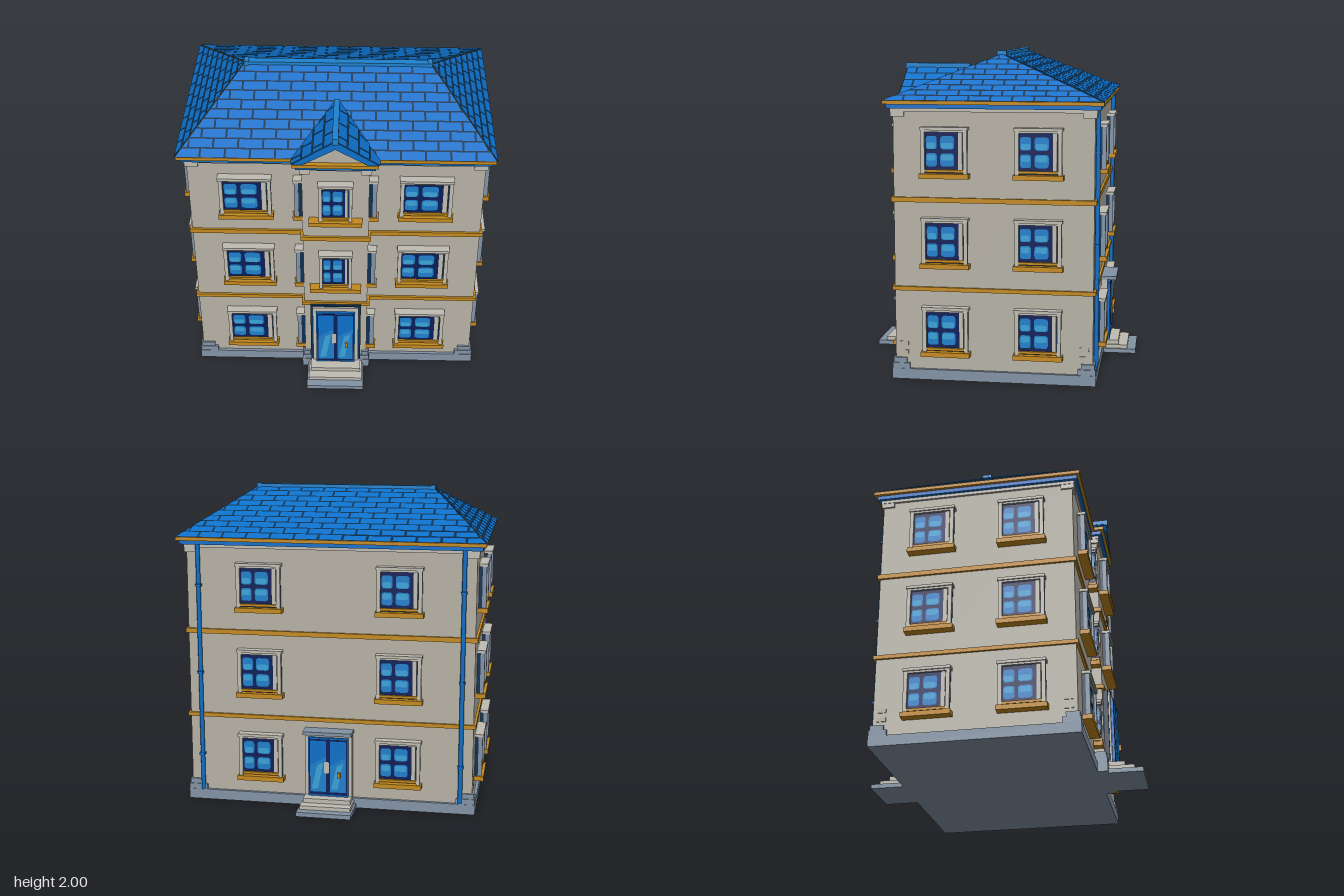
import * as THREE from 'three';

const mat = (name, color) => Object.assign(new THREE.MeshStandardMaterial({ color }), { name });
const M = {
  wall: mat('warm grey wall', 0xb6b2a6),
  trim: mat('pale trim', 0xc0bdb3),
  stone: mat('blue grey stone', 0x8393a6),
  gold: mat('ochre', 0xc48a1f),
  roof: mat('roof blue', 0x0c6fc9),
  ridge: mat('ridge blue', 0x1f83cf),
  joint: mat('dark joint', 0x0d3050),
  navy: mat('navy', 0x0b1e58),
  glass: mat('glass blue', 0x1f80cc),
  glint: mat('glint blue', 0x3ba3d8),
};

function add(parent, name, geo, material) {
  const m = new THREE.Mesh(geo, material);
  m.name = name;
  parent.add(m);
  return m;
}
// Box given by its limits
function box(parent, name, material, x0, x1, y0, y1, z0, z1) {
  const m = add(parent, name, new THREE.BoxGeometry(x1 - x0, y1 - y0, z1 - z0), material);
  m.position.set((x0 + x1) / 2, (y0 + y1) / 2, (z0 + z1) / 2);
  return m;
}
// Flat polygon facing +z
function plate(parent, name, material, pts, z) {
  const s = new THREE.Shape(pts.map(p => new THREE.Vector2(...p)));
  add(parent, name, new THREE.ShapeGeometry(s), material).position.z = z;
}
// Rounded pane of glass
function pane(parent, name, material, x0, x1, y0, y1, z) {
  const rx = (x1 - x0) * 0.25, ry = (y1 - y0) * 0.25, s = new THREE.Shape();
  s.moveTo(x0 + rx, y0);
  s.lineTo(x1 - rx, y0); s.quadraticCurveTo(x1, y0, x1, y0 + ry);
  s.lineTo(x1, y1 - ry); s.quadraticCurveTo(x1, y1, x1 - rx, y1);
  s.lineTo(x0 + rx, y1); s.quadraticCurveTo(x0, y1, x0, y1 - ry);
  s.lineTo(x0, y0 + ry); s.quadraticCurveTo(x0, y0, x0 + rx, y0);
  add(parent, name, new THREE.ShapeGeometry(s, 4), material).position.z = z;
}
function quads(list) {
  const pos = [];
  for (const [a, b, c, d] of list) for (const p of [a, b, c, a, c, d]) pos.push(p.x, p.y, p.z);
  const g = new THREE.BufferGeometry();
  g.setAttribute('position', new THREE.Float32BufferAttribute(pos, 3));
  g.computeVertexNormals();
  return g;
}

// Sloping roof face: a, b along the eave, c, d along the ridge, covered in staggered tiles
function tiledFace(parent, name, pts, rows, tile) {
  const [a, b, c, d] = pts.map(p => new THREE.Vector3(...p));
  const e = b.clone().sub(a).normalize();
  const uD = d.clone().sub(a).dot(e), uC = c.clone().sub(a).dot(e), uB = b.clone().sub(a).dot(e);
  const up = d.clone().sub(a).addScaledVector(e, -uD);
  const n = e.clone().cross(up).normalize();
  const at = (u, v, h) => {
    const l = uD * v + 0.006, r = uB + (uC - uB) * v - 0.006;
    return a.clone().addScaledVector(e, l > r ? (l + r) / 2 : Math.min(r, Math.max(l, u)))
      .addScaledVector(up, v).addScaledVector(n, h);
  };
  add(parent, name + 'Joints', quads([[a, b, c, d].map(p => p.clone().addScaledVector(n, 0.002))]), M.joint);
  const list = [], gapV = 0.011 / up.length(), gapU = 0.006;
  const min = Math.min(0, uD), max = Math.max(uB, uC);
  for (let i = 0; i < rows; i++) {
    const v0 = i / rows, v1 = (i + 1) / rows - gapV;
    for (let u = min - (i % 2) * tile / 2; u < max; u += tile) {
      const q = [at(u + gapU, v0, 0.006), at(u + tile - gapU, v0, 0.006), at(u + tile - gapU, v1, 0.006), at(u + gapU, v1, 0.006)];
      if (q[0].distanceTo(q[1]) > 1e-4 || q[2].distanceTo(q[3]) > 1e-4) list.push(q);
    }
  }
  add(parent, name + 'Tiles', quads(list), M.roof);
}

// Window with sill, framed glass and lintel; local z points out of the wall
function makeWindow(parent, x, y, z, turn, w, sillW = w + 0.02) {
  const g = new THREE.Group(), h = w / 2, t = Math.min(0.024, w * 0.1);
  g.name = 'window';
  g.position.set(x, y, z);
  g.rotation.y = turn;
  const frame = [M.stone, M.stone, M.stone, M.stone, M.trim, M.trim];
  box(g, 'windowBox', M.joint, -h + 0.005, h - 0.005, 0.03, 0.29, 0, 0.022);
  box(g, 'sill', M.gold, -sillW / 2, sillW / 2, 0, 0.03, -0.01, 0.06);
  box(g, 'lintel', M.trim, -h - 0.005, h + 0.005, 0.29, 0.308, 0, 0.055);
  for (const s of [-1, 1])
    box(g, 'jamb', frame, s < 0 ? -h : h - t, s < 0 ? -h + t : h, 0.03, 0.29, 0.022, 0.048);
  box(g, 'frameTop', frame, -h + t, h - t, 0.278, 0.29, 0.022, 0.046);
  box(g, 'lowerRail', M.gold, -h + t, h - t, 0.038, 0.054, 0.022, 0.044);
  const x0 = -h + t, x1 = h - t - w * 0.11, pw = x1 - x0;
  box(g, 'reveal', M.trim, x1, h - t - 0.006, 0.054, 0.278, 0.022, 0.034);
  box(g, 'sash', M.navy, x0, x1, 0.054, 0.278, 0.022, 0.03);
  for (let i = 0; i < 2; i++) for (let j = 0; j < 2; j++) {
    const a = x0 + pw * (i ? 0.46 : 0.03), b = x0 + pw * (i ? 0.88 : 0.36);
    const c = 0.072 + j * 0.103, d = c + 0.08;
    pane(g, 'glass', M.glass, a, b, c, d, 0.032);
    pane(g, 'glassGlint', M.glint, a + pw * 0.03, b - pw * 0.04, c + (j ? 0.005 : 0.036), d - (j ? 0.04 : 0.008), 0.034);
  }
  parent.add(g);
}

// Double door, h high, local z points out of the wall
function makeDoor(parent, name, z, turn, h) {
  const g = new THREE.Group();
  g.name = name;
  g.position.set(0, 0.08, z);
  g.rotation.y = turn;
  box(g, 'doorTrim', M.trim, -0.15, 0.15, 0, h + 0.03, 0, 0.042);
  box(g, 'doorLeaf', M.roof, -0.128, 0.128, 0, h, 0, 0.057);
  const k = h - 0.02;
  box(g, 'doorPanel', M.navy, -0.122, 0.122, 0.01, h - 0.01, 0.057, 0.059);
  for (const s of [-1, 1]) {
    const a = s < 0 ? -0.114 : 0.012, b = a + 0.102;
    plate(g, 'doorGlass', M.roof, [[a, 0.03], [b, 0.03], [b, k], [a, k]], 0.061);
    plate(g, 'doorShine', M.glass, [[a, 0.03], [b, 0.03], [b, k * 0.72], [a, k * 0.55]], 0.063);
    plate(g, 'doorGlint', M.glint, [[a + 0.01, 0.05], [a + 0.05, 0.05], [a + 0.085, k * 0.62], [a + 0.045, k * 0.56]], 0.065);
  }
  pane(g, 'doorPlaque', M.trim, -0.024, 0.008, h * 0.4, h * 0.6, 0.067);
  box(g, 'handle', M.gold, 0.062, 0.08, h * 0.34, h * 0.43, 0.057, 0.08);
  parent.add(g);
  return g;
}

export function createModel() {
  const model = new THREE.Group();
  model.name = 'house';
  const X = 0.905, F = 0.577, B = -0.635, BX = 0.205, BF = 0.64;

  // Layer following the outline of the main block and the front bay
  const tier = (name, m, o, y0, y1) => {
    box(model, name, m, -X - o, X + o, y0, y1, B - o, F + o);
    box(model, name + 'Bay', m, -BX - o, BX + o, y0, y1, F - 0.05, BF + o);
  };
  tier('walls', M.wall, 0, 0.02, 1.7);
  tier('plinth', M.stone, 0.02, 0, 0.065);
  tier('lowerBand', M.gold, 0.015, 0.555, 0.58);
  tier('upperBand', M.gold, 0.015, 1.1, 1.13);
  tier('frieze', M.trim, 0.015, 1.645, 1.665);
  tier('cornice', M.roof, 0.035, 1.665, 1.69);
  tier('eaveTrim', M.gold, 0.054, 1.69, 1.712);

  // Corner foot stones, capitals and small wall blocks
  const corner = (name, m, cx, cz, sx, sz, w, d, o, y0, y1) => {
    const x = [cx + sx * o, cx - sx * w], z = [cz + sz * o, cz - sz * d];
    box(model, name, m, Math.min(...x), Math.max(...x), y0, y1, Math.min(...z), Math.max(...z));
  };
  for (const sx of [-1, 1]) {
    for (const [cz, sz] of [[F, 1], [B, -1]]) {
      corner('footStone', M.stone, sx * X, cz, sx, sz, 0.1, 0.09, 0.018, 0.06, 0.1);
      corner('footStoneTop', M.stone, sx * X, cz, sx, sz, 0.08, 0.07, 0.012, 0.1, 0.132);
      corner('capital', M.trim, sx * X, cz, sx, sz, 0.07, 0.07, 0.012, 1.615, 1.645);
      for (const y of [0.155, 0.21])
        corner('wallBlock', M.wall, sx * X, cz - sz * 0.03, sx, sz, 0.01, 0.05, 0.005, y, y + 0.024);
    }
    corner('bayFootStone', M.stone, sx * BX, BF, sx, 1, 0.04, 0.07, 0.018, 0.06, 0.1);
    corner('bayFootStoneTop', M.stone, sx * BX, BF, sx, 1, 0.035, 0.06, 0.012, 0.1, 0.132);
    corner('bayCapital', M.trim, sx * BX, BF, sx, 1, 0.05, 0.06, 0.012, 1.615, 1.645);

    // Rear downpipes with brackets
    const pipe = add(model, 'downpipe', new THREE.CylinderGeometry(0.014, 0.014, 1.6, 8), M.roof);
    pipe.position.set(sx * 0.83, 0.87, B - 0.014);
    for (const y of [0.3, 0.84, 1.4])
      box(model, 'pipeBracket', M.roof, sx * 0.83 - 0.018, sx * 0.83 + 0.018, y, y + 0.015, B - 0.032, B);
  }

  // Windows on three floors
  for (const y of [0.155, 0.702, 1.249]) {
    for (const s of [-1, 1]) {
      makeWindow(model, s * 0.555, y, F, 0, 0.32);
      makeWindow(model, s * 0.44, y, B, Math.PI, 0.28);
      makeWindow(model, s * BX, y, 0.61, s * Math.PI / 2, 0.05, 0.06);
      for (const z of [0.26, -0.305]) makeWindow(model, s * X, y, z, s * Math.PI / 2, 0.28);
    }
    if (y > 0.5) makeWindow(model, 0, y, BF, 0, 0.205, 0.33);
  }

  // Doors, canopy and steps
  const front = makeDoor(model, 'frontDoor', BF, 0, 0.445);
  box(front, 'doorSurround', M.joint, -0.165, 0.165, 0, 0.485, 0, 0.03);
  makeDoor(model, 'backDoor', B, Math.PI, 0.385);
  box(model, 'backCanopy', M.stone, -0.155, 0.155, 0.49, 0.512, -0.735, B);
  [[0.875, 0.187], [0.82, 0.175], [0.76, 0.165]].forEach(([z, w], i) => {
    const y0 = [0, 0.028, 0.052][i], y1 = [0.028, 0.052, 0.08][i], m = i ? M.trim : M.stone;
    box(model, 'frontStep', m, -w, w, y0, y1, 0.6, z);
    box(model, 'backStep', m, -w + 0.014, w - 0.014, y0, y1, -z + 0.007, -0.6);
  });

  // Hipped main roof
  const ex = 0.962, ef = 0.63, eb = -0.69, ey = 1.712, rx = 0.585, rz = -0.035, ry = 1.978;
  tiledFace(model, 'frontSlope', [[-ex, ey, ef], [ex, ey, ef], [rx, ry, rz], [-rx, ry, rz]], 10, 0.15);
  tiledFace(model, 'backSlope', [[ex, ey, eb], [-ex, ey, eb], [-rx, ry, rz], [rx, ry, rz]], 10, 0.15);
  tiledFace(model, 'leftSlope', [[ex, ey, ef], [ex, ey, eb], [rx, ry, rz], [rx, ry, rz]], 9, 0.13);
  tiledFace(model, 'rightSlope', [[-ex, ey, eb], [-ex, ey, ef], [-rx, ry, rz], [-rx, ry, rz]], 9, 0.13);
  box(model, 'ridgeCap', M.ridge, -0.585, 0.585, 1.97, 1.995, rz - 0.025, rz + 0.025);
  for (const s of [-1, 1])
    box(model, 'ridgeEnd', M.ridge, s * 0.575 - 0.015, s * 0.575 + 0.015, 1.965, 2, rz - 0.03, rz + 0.03);

  // Gable over the bay
  const gx = 0.263, gy = 1.88, gf = 0.69;
  tiledFace(model, 'gableLeft', [[gx, ey, gf], [gx, ey, ef], [0, gy, 0.22], [0, gy, gf]], 4, 0.14);
  tiledFace(model, 'gableRight', [[-gx, ey, ef], [-gx, ey, gf], [0, gy, gf], [0, gy, 0.22]], 4, 0.14);
  box(model, 'gableRidge', M.ridge, -0.018, 0.018, 1.865, 1.905, 0.265, 0.7);
  const extrude = (name, m, pts, z0, z1) => {
    const s = new THREE.Shape(pts.map(p => new THREE.Vector2(...p)));
    add(model, name, new THREE.ExtrudeGeometry(s, { depth: z1 - z0, bevelEnabled: false }), m).position.z = z0;
  };
  extrude('pediment', M.wall, [[-0.2, ey], [0.2, ey], [0, 1.838]], 0.56, 0.662);
  extrude('gableVerge', M.roof, [[-gx, ey], [-0.198, ey], [0, 1.825], [0.198, ey], [gx, ey], [0, gy]], 0.6, gf);
  return model;
}
